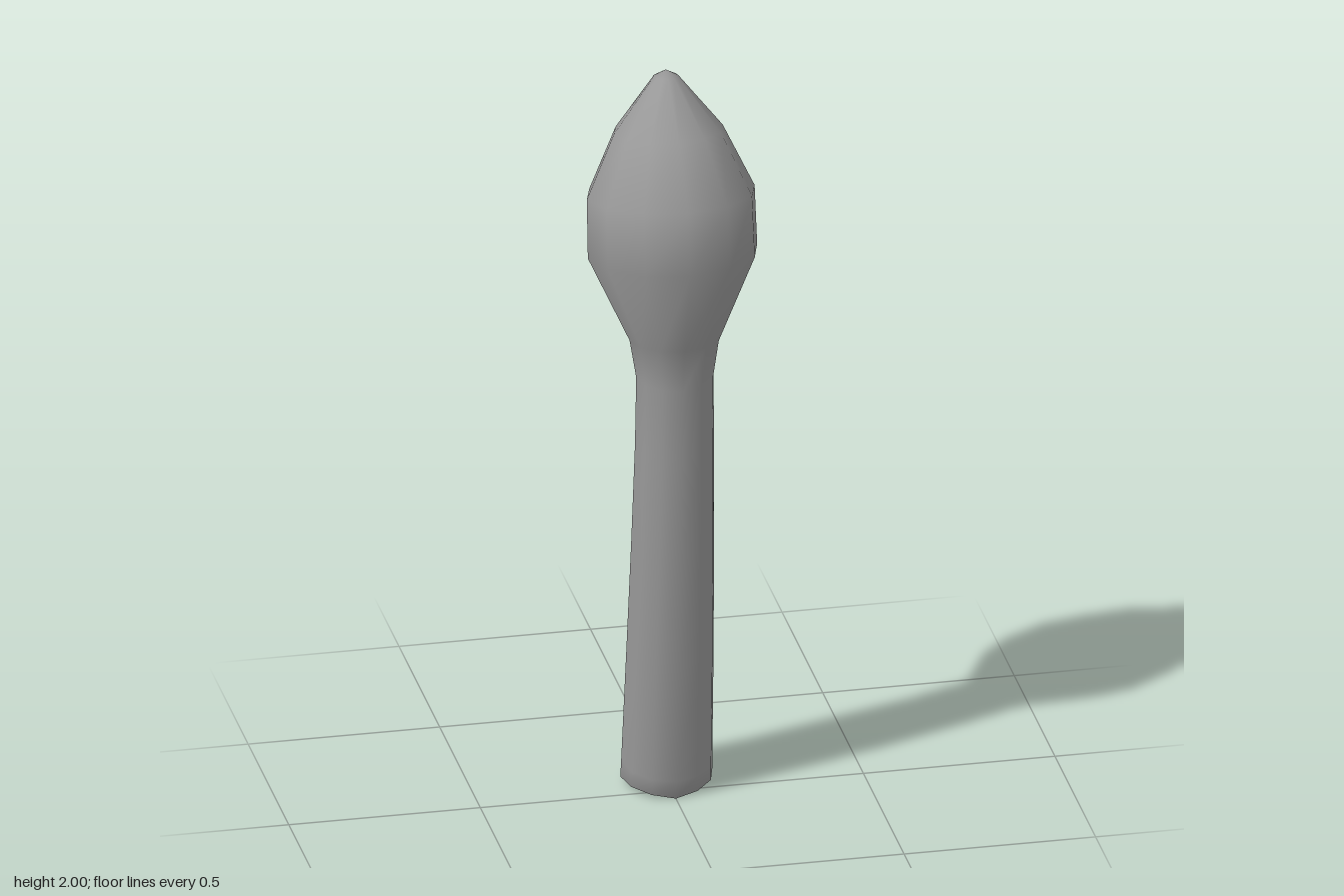
import * as THREE from 'three';

const SIDES = 12;

// Each ring: half width in x, front edge (z, y), back edge (z, y), ripple in height
const RINGS = [
  [0.108, 0.037, 0.008, -0.174, 0.042, 0.006],
  [0.12, 0.05, 0.005, -0.187, 0.045, 0.007],
  [0.119, 0.056, 0.055, -0.181, 0.095, 0],
  [0.114, 0.09, 0.39, -0.136, 0.41, 0],
  [0.108, 0.12, 0.71, -0.102, 0.73, 0],
  [0.103, 0.135, 1.0, -0.071, 1.01, 0],
  [0.101, 0.14, 1.19, -0.066, 1.2, 0],
  [0.118, 0.155, 1.31, -0.083, 1.29, 0],
  [0.221, 0.228, 1.555, -0.212, 1.5, 0],
  [0.219, 0.2, 1.72, -0.228, 1.645, 0],
  [0.142, 0.093, 1.868, -0.18, 1.825, 0],
  [0.032, -0.042, 1.987, -0.107, 1.979, 0],
];

// Points around a tilted elliptical ring
function ringPoints([rx, zf, yf, zb, yb, ripple]) {
  return Array.from({ length: SIDES }, (_, i) => {
    const a = (i / SIDES) * Math.PI * 2;
    const t = (1 + Math.cos(a)) / 2;
    const y = yb + (yf - yb) * t + 2 * ripple * Math.cos(a) * Math.abs(Math.sin(a));
    return [rx * Math.sin(a), y, zb + (zf - zb) * t];
  });
}

export function createModel() {
  const group = new THREE.Group();
  group.name = 'budOnStalk';

  // One smooth skin through all rings, closed by the bud tip and the stalk end
  const points = RINGS.flatMap(ringPoints);
  const tip = points.length;
  const base = tip + 1;
  points.push([0, 2, -0.077], [0, 0.025, -0.068]);
  const index = [];
  for (let r = 0; r < RINGS.length; r++) {
    for (let i = 0; i < SIDES; i++) {
      const a = r * SIDES + i;
      const b = r * SIDES + ((i + 1) % SIDES);
      if (r === 0) index.push(b, a, base);
      if (r === RINGS.length - 1) index.push(a, b, tip);
      else index.push(a, b, b + SIDES, a, b + SIDES, a + SIDES);
    }
  }

  const geometry = new THREE.BufferGeometry();
  geometry.setAttribute('position', new THREE.Float32BufferAttribute(points.flat(), 3));
  geometry.setIndex(index);
  geometry.computeVertexNormals();
  const mesh = new THREE.Mesh(geometry, new THREE.MeshStandardMaterial({ color: 0x999999 }));
  mesh.name = 'stalkAndBud';
  group.add(mesh);

  return group;
}
